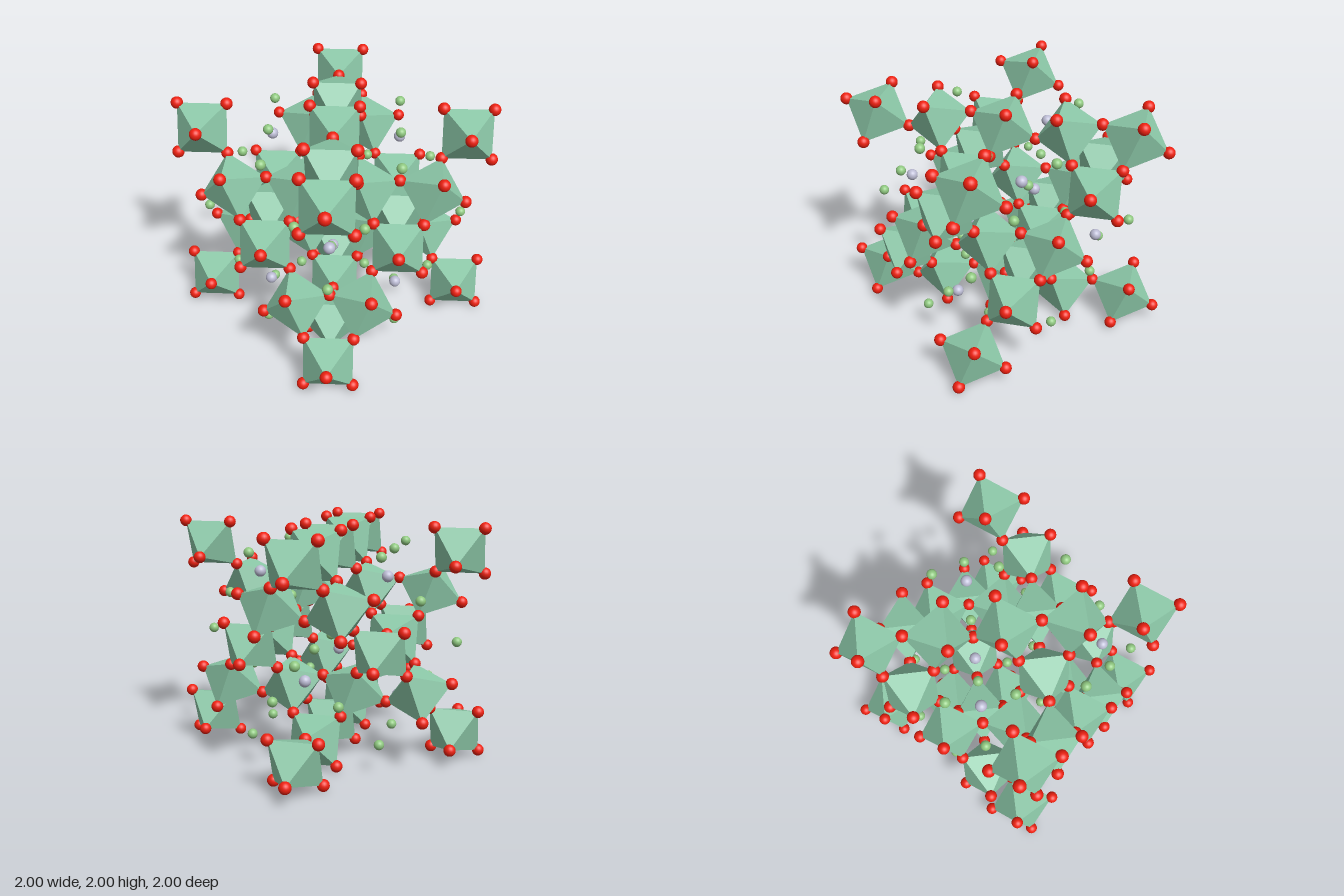
import * as THREE from 'three';

const D = 0.095;        // lattice step; octahedra sit on a grid of 4 steps
const CELLS = 4;        // grid intervals along each side

// Grid coordinates to model space (the lattice is mirrored in y)
const place = (i, j, k) =>
  new THREE.Vector3((i - 2) * 4 * D, 1 - (j - 2) * 4 * D, (k - 2) * 4 * D);

const paint = (color) => new THREE.MeshStandardMaterial({ color });

export function createModel() {
  const model = new THREE.Group();
  const groups = {};
  for (const name of ['octahedra', 'cornerAtoms', 'cageAtoms', 'tunnelAtoms']) {
    groups[name] = new THREE.Group();
    groups[name].name = name;
    model.add(groups[name]);
  }

  const octaGeo = new THREE.OctahedronGeometry(3 * D);
  const ball = (r) => new THREE.SphereGeometry(r, 20, 14);
  const cornerGeo = ball(0.05), cageGeo = ball(0.042), tunnelGeo = ball(0.048);
  const octaMat = paint(0x8cc8a8);
  const cornerMat = paint(0xee2010);
  const cageMat = paint(0x8fc880);
  const tunnelMat = paint(0xbcbcd4);

  const add = (group, name, geo, mat, pos) => {
    const mesh = new THREE.Mesh(geo, mat);
    mesh.name = name;
    mesh.position.copy(pos);
    groups[group].add(mesh);
    return mesh;
  };

  const seen = new Set();

  // Octahedron turned about the body diagonal given by the signs s, with an atom on each corner
  function addOctahedron(center, s) {
    const flip = s[0] * s[1] * s[2];
    const axes = [[2, -1, 2], [2, 2, -1], [-1, 2, 2]].map((v) =>
      new THREE.Vector3(v[0] * s[0], v[1] * s[1], v[2] * s[2]).multiplyScalar(flip / 3));
    const basis = new THREE.Matrix4().makeBasis(...axes);
    if (basis.determinant() < 0) basis.makeBasis(axes[0], axes[2], axes[1]);
    add('octahedra', 'octahedron', octaGeo, octaMat, center)
      .quaternion.setFromRotationMatrix(basis);

    for (const axis of axes) {
      for (const side of [-1, 1]) {
        const p = center.clone().addScaledVector(axis, side * 3 * D);
        const key = p.toArray().map((c) => Math.round(c / D * 2)).join();
        if (seen.has(key)) continue; // corner shared with a neighbour
        seen.add(key);
        add('cornerAtoms', 'cornerAtom', cornerGeo, cornerMat, p);
      }
    }
  }

  // Two interleaved sets of sites: octahedra and loose cage atoms
  const sign = (n) => (n % 2 ? 1 : -1);
  for (let i = 0; i <= CELLS; i++) {
    for (let j = 0; j <= CELLS; j++) {
      for (let k = 0; k <= CELLS; k++) {
        if ((i + j + k) % 2) continue;
        const pos = place(i, j, k);
        const half = Math.floor(i / 2) + Math.floor(j / 2) + Math.floor(k / 2);
        if (half % 2) add('cageAtoms', 'cageAtom', cageGeo, cageMat, pos);
        else addOctahedron(pos, [sign(i), -sign(j), sign(k)]);
      }
    }
  }

  // Atoms in the centres of the cage-atom tetrahedra
  for (const [x, y, z] of [[1.5, 1.5, 1.5], [2.5, 2.5, 2.5]]) {
    for (const [u, v, w] of [[0, 0, 0], [2, 2, 0], [2, 0, 2], [0, 2, 2]]) {
      add('tunnelAtoms', 'tunnelAtom', tunnelGeo, tunnelMat,
        place((x + u) % 4, (y + v) % 4, (z + w) % 4));
    }
  }
  return model;
}
